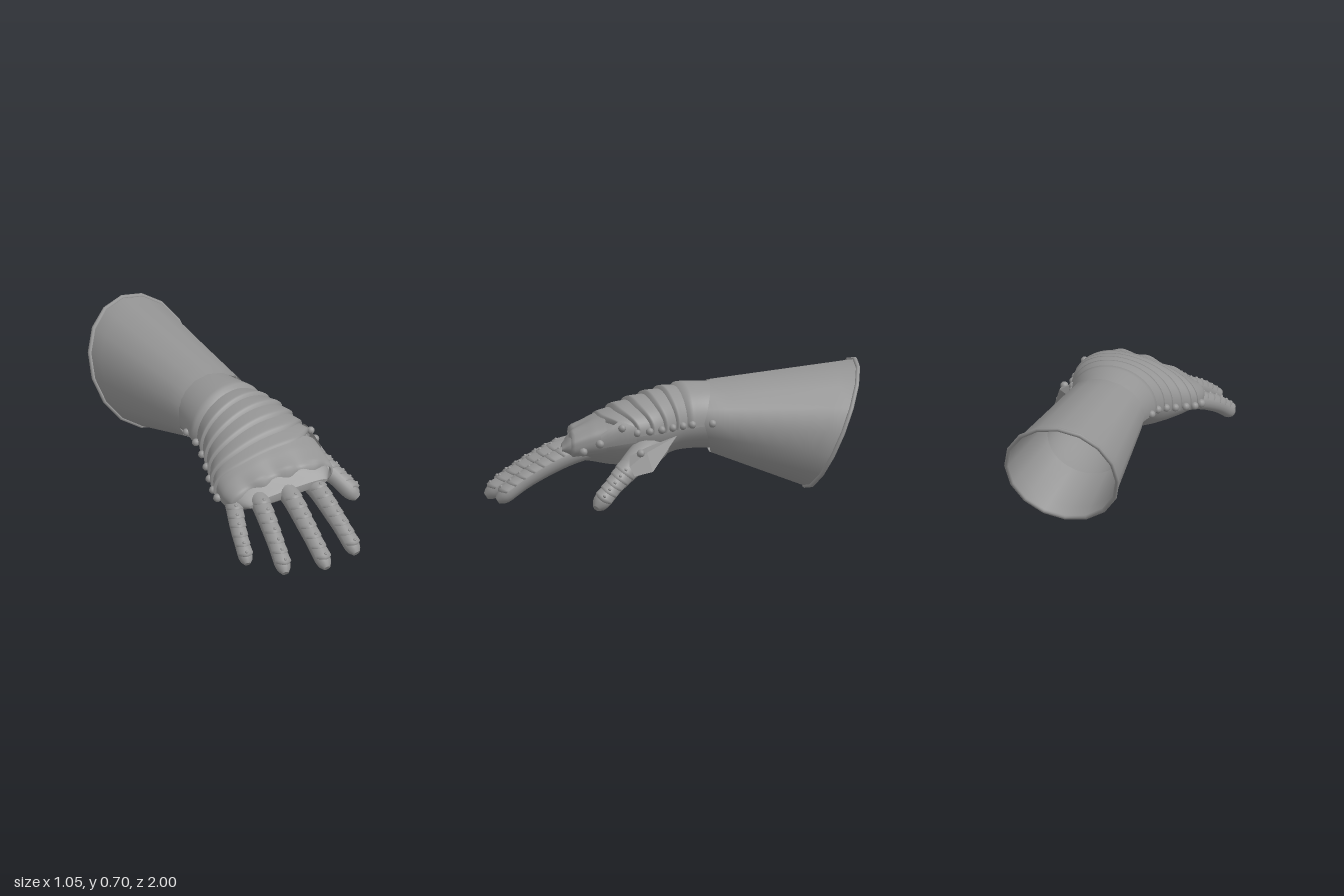
import * as THREE from 'three';
import { mergeVertices } from 'three/addons/utils/BufferGeometryUtils.js';
import { ConvexGeometry } from 'three/addons/geometries/ConvexGeometry.js';

const V = (x, y, z) => new THREE.Vector3(x, y, z);
const mat = new THREE.MeshStandardMaterial({ color: 0x949494, side: THREE.DoubleSide });
const { lerp, clamp } = THREE.MathUtils;
const PI = Math.PI;

// Smooth surface from a rule fn(u, v) -> Vector3, u and v in 0..1
function surface(fn, nu, nv) {
  const pos = [], idx = [];
  for (let i = 0; i <= nu; i++) for (let j = 0; j <= nv; j++) pos.push(...fn(i / nu, j / nv).toArray());
  for (let i = 0; i < nu; i++) for (let j = 0; j < nv; j++) {
    const a = i * (nv + 1) + j, b = a + nv + 1;
    idx.push(a, a + 1, b, b, a + 1, b + 1);
  }
  let g = new THREE.BufferGeometry();
  g.setAttribute('position', new THREE.Float32BufferAttribute(pos, 3));
  g.setIndex(idx);
  g = mergeVertices(g, 1e-5);
  g.computeVertexNormals();
  return g;
}

function add(parent, name, geometry) {
  const m = new THREE.Mesh(geometry, mat);
  m.name = name;
  parent.add(m);
  return m;
}

function rivet(parent, p, r) {
  add(parent, 'rivet', new THREE.SphereGeometry(r, 10, 8)).position.copy(p);
}

// Hand cross-sections: z, centre x, centre y, half width, height above, height below, roll, skew
const SECTIONS = [
  [-0.52, 0.125, 0.405, 0.215, 0.190, 0.190, 0.00, 0.20],
  [-0.20, 0.07, 0.420, 0.195, 0.178, 0.170, 0.00, 0.20],
  [0.00, 0.04, 0.405, 0.213, 0.180, 0.160, 0.06, 0.10],
  [0.15, 0.015, 0.375, 0.255, 0.175, 0.190, 0.12, 0.14],
  [0.30, -0.04, 0.345, 0.280, 0.148, 0.170, 0.16, 0.22],
  [0.43, -0.085, 0.312, 0.273, 0.108, 0.115, 0.16, 0.33],
  [0.53, -0.105, 0.285, 0.250, 0.072, 0.070, 0.15, 0.40],
  [0.58, -0.11, 0.275, 0.210, 0.025, 0.020, 0.15, 0.40],
];

function sectionAt(z) {
  let i = 0;
  while (i < SECTIONS.length - 2 && z > SECTIONS[i + 1][0]) i++;
  const s = k => SECTIONS[clamp(k, 0, SECTIONS.length - 1)];
  const t = (z - s(i)[0]) / (s(i + 1)[0] - s(i)[0]);
  return s(i).map((p1, k) => {
    const p0 = s(i - 1)[k], p2 = s(i + 1)[k], p3 = s(i + 2)[k];
    return k === 0 ? z : p1 + 0.5 * t * (p2 - p0 + t * (2 * p0 - 5 * p1 + 4 * p2 - p3 + t * (3 * (p1 - p2) + p3 - p0)));
  });
}

// Point on the hand at section z and angle a, lifted by off; flatter on top near the knuckles
function handPoint(z, a, off = 0) {
  const [, cx, cy, hw, up, down, roll, skew] = sectionAt(z);
  const dx = (hw + off) * Math.cos(a), sin = Math.sin(a);
  const s = Math.sign(sin) * Math.abs(sin) ** lerp(1, 0.75, clamp((z - 0.25) / 0.25, 0, 1));
  return V(cx + dx, cy + roll * dx + s * ((s > 0 ? up : down) + off), z + skew * dx);
}

// Lift of an overlapping plate along its length, with a folded lip at its front edge
const lift = (u, low, high) => (u > 0.99 ? 0 : lerp(low, high, Math.min(1, u / 0.8)));

function buildHand(group) {
  add(group, 'palm', surface((u, v) => handPoint(lerp(-0.52, 0.58, u), v * 2 * PI), 44, 40));
  add(group, 'palmEnd', surface((u, v) => handPoint(0.58, v * 2 * PI).lerp(V(-0.11, 0.277, 0.585), u), 1, 40));

  // Lapped bands over the back of the hand, bunched together towards their ends
  const fan = (z, a) => -0.04 + (z + 0.04) * (1 - (Math.cos(a) > 0 ? 0.22 : 0.1) * Math.cos(a) ** 4);
  const edges = [-0.2, 0.0, 0.08, 0.165, 0.25, 0.335, 0.41];
  for (let i = 0; i < edges.length - 1; i++) {
    const z0 = edges[i] - 0.02, z1 = edges[i + 1];
    add(group, 'handBand', surface((u, v) => {
      const a = lerp(-0.1, PI + 0.22, v);
      return handPoint(fan(lerp(z0, z1, u), a), a, lift(u, 0.005, 0.024));
    }, 8, 36));
    rivet(group, handPoint(-0.04 + i * 0.058, 0, 0.02), 0.021);
    rivet(group, handPoint(-0.09 + i * 0.083, PI + 0.12, 0.022), 0.021);
  }

  // Wide knuckle plate with a ridge and a scallop over each finger
  const lobe = a => Math.cos(PI * (Math.cos(a) - 0.65) / 0.53) ** 2;
  add(group, 'knucklePlate', surface((u, v) => {
    const a = lerp(-0.45, PI + 0.15, v), l = lobe(a) * Math.max(0, Math.sin(a)) ** 0.5;
    const z = lerp(0.375, 0.53 + 0.015 * l, Math.min(1, u / 0.95));
    return handPoint(z, a, u > 0.99 ? 0.012 : lift(u, 0.016, 0.022 + 0.02 * l * u));
  }, 12, 64));
  for (const [z, a] of [[0.405, -0.1], [0.475, -0.25], [0.405, PI + 0.08]]) rivet(group, handPoint(z, a, 0.024), 0.023);

  // Hinge tab linking the knuckle plate to the thumb
  add(group, 'hingeTab', surface((u, v) =>
    handPoint(lerp(0.25, 0.40, u), lerp(-0.25, 0.45 - 0.6 * Math.abs(u - 0.5), v), 0.026), 6, 6));
  rivet(group, handPoint(0.315, 0.2, 0.028), 0.021);
  rivet(group, handPoint(-0.165, 0, 0.035), 0.021);
}

// Tapered digit along a path, with lapped scales on the side that faces up
function buildDigit(group, name, points, r0, r1, up, first, count) {
  const digit = new THREE.Group();
  digit.name = name;
  group.add(digit);
  const curve = new THREE.CatmullRomCurve3(points.map(p => V(...p)));
  const at = (t, a, off = 0) => {
    const T = curve.getTangentAt(t), side = T.clone().cross(up).normalize();
    const n = side.clone().cross(T);
    const root = t < 0.25 ? Math.sqrt(1 - (1 - t / 0.25) ** 2) : 1;
    const tip = t > 0.9 ? Math.sqrt(1 - 0.82 * ((t - 0.9) / 0.1) ** 2) : 1;
    const r = lerp(r0, r1, Math.min(1, t * 1.3)) * root * tip + off;
    return curve.getPointAt(t).addScaledVector(side, r * Math.cos(a)).addScaledVector(n, r * Math.sin(a));
  };
  add(digit, 'fingerBody', surface((u, v) => at(u, v * 2 * PI), 30, 16));
  add(digit, 'fingertip', surface((u, v) => at(1, v * 2 * PI).lerp(curve.getPointAt(1), u), 1, 16));
  const step = (0.93 - first) / count;
  for (let i = 0; i < count; i++) {
    const t0 = first + i * step - 0.02, t1 = first + (i + 1) * step;
    add(digit, 'fingerScale', surface((u, v) => {
      const a = lerp(0.4, PI - 0.4, v);
      return at(lerp(t0, t1 - 0.04 + 0.06 * Math.sin(a), Math.min(1, u / 0.9)), a, lift(u, 0.003, 0.011) * Math.sin(a) ** 0.5);
    }, 6, 12));
    rivet(digit, at(t1 - 0.02, PI / 2, 0.007), 0.009);
  }
}

// Flared cuff: narrow V-cut front edge to a wide tilted rear rim
function buildCuff(group) {
  const front = a => V(0.07 + 0.215 * Math.cos(a), 0.42 + 0.195 * Math.sin(a),
    -0.14 + 0.06 * Math.cos(a) - 0.06 * Math.abs(Math.sin(a)));
  const rear = a => V(0.215 + 0.305 * Math.cos(a), 0.36 + 0.332 * Math.sin(a),
    -0.835 + 0.055 * Math.cos(a) - 0.145 * Math.sin(a));
  add(group, 'cuff', surface((u, v) => front(v * 2 * PI).lerp(rear(v * 2 * PI), u), 8, 16));
  add(group, 'cuffLining', surface((u, v) => {
    const a = v * 2 * PI, p = front(a).lerp(rear(a), u), c = V(0.07, 0.42, -0.14).lerp(V(0.215, 0.36, -0.835), u);
    return p.lerp(c, 0.03);
  }, 8, 16));
  const axis = V(0.15, -0.35, -0.9).normalize();
  add(group, 'cuffRim', surface((u, v) => {
    const p = rear(u * 2 * PI), out = p.clone().sub(V(0.215, 0.36, -0.835)).normalize();
    return p.addScaledVector(out, 0.012 * Math.cos(v * 2 * PI)).addScaledVector(axis, 0.012 * Math.sin(v * 2 * PI));
  }, 16, 8));
}

export function createModel() {
  const g = new THREE.Group();
  g.name = 'gauntlet';
  buildCuff(g);
  buildHand(g);

  const up = V(0, 1, 0.25);
  buildDigit(g, 'indexFinger', [[0.06, 0.30, 0.40], [0.06, 0.275, 0.57], [0.02, 0.165, 0.80], [-0.012, 0.036, 0.99]], 0.059, 0.044, up, 0.3, 7);
  buildDigit(g, 'middleFinger', [[-0.06, 0.29, 0.37], [-0.095, 0.27, 0.55], [-0.16, 0.16, 0.77], [-0.215, 0.024, 0.97]], 0.059, 0.044, up, 0.3, 7);
  buildDigit(g, 'ringFinger', [[-0.17, 0.27, 0.30], [-0.23, 0.26, 0.46], [-0.32, 0.16, 0.66], [-0.402, 0.02, 0.845]], 0.057, 0.043, up, 0.3, 7);
  buildDigit(g, 'littleFinger', [[-0.23, 0.265, 0.23], [-0.32, 0.235, 0.37], [-0.42, 0.155, 0.51], [-0.497, 0.038, 0.655]], 0.053, 0.039, V(-0.15, 1, 0.25), 0.36, 6);
  buildDigit(g, 'thumb', [[0.09, 0.315, 0.08], [0.255, 0.265, 0.28], [0.345, 0.15, 0.46], [0.397, 0.036, 0.595]], 0.1, 0.048, V(0.8, 0.6, 0.1), 0.58, 5);

  // Pointed guard over the base of the thumb
  add(g, 'thumbGuard', new ConvexGeometry([
    V(0.355, 0.385, 0.11), V(0.325, 0.33, 0.27), V(0.405, 0.21, 0.27), V(0.37, 0.31, 0.29),
    V(0.32, 0.29, 0.37), V(0.39, 0.19, 0.37), V(0.37, 0.24, 0.39), V(0.33, 0.24, 0.32),
  ]));
  rivet(g, V(0.357, 0.305, 0.32), 0.022);
  return g;
}
